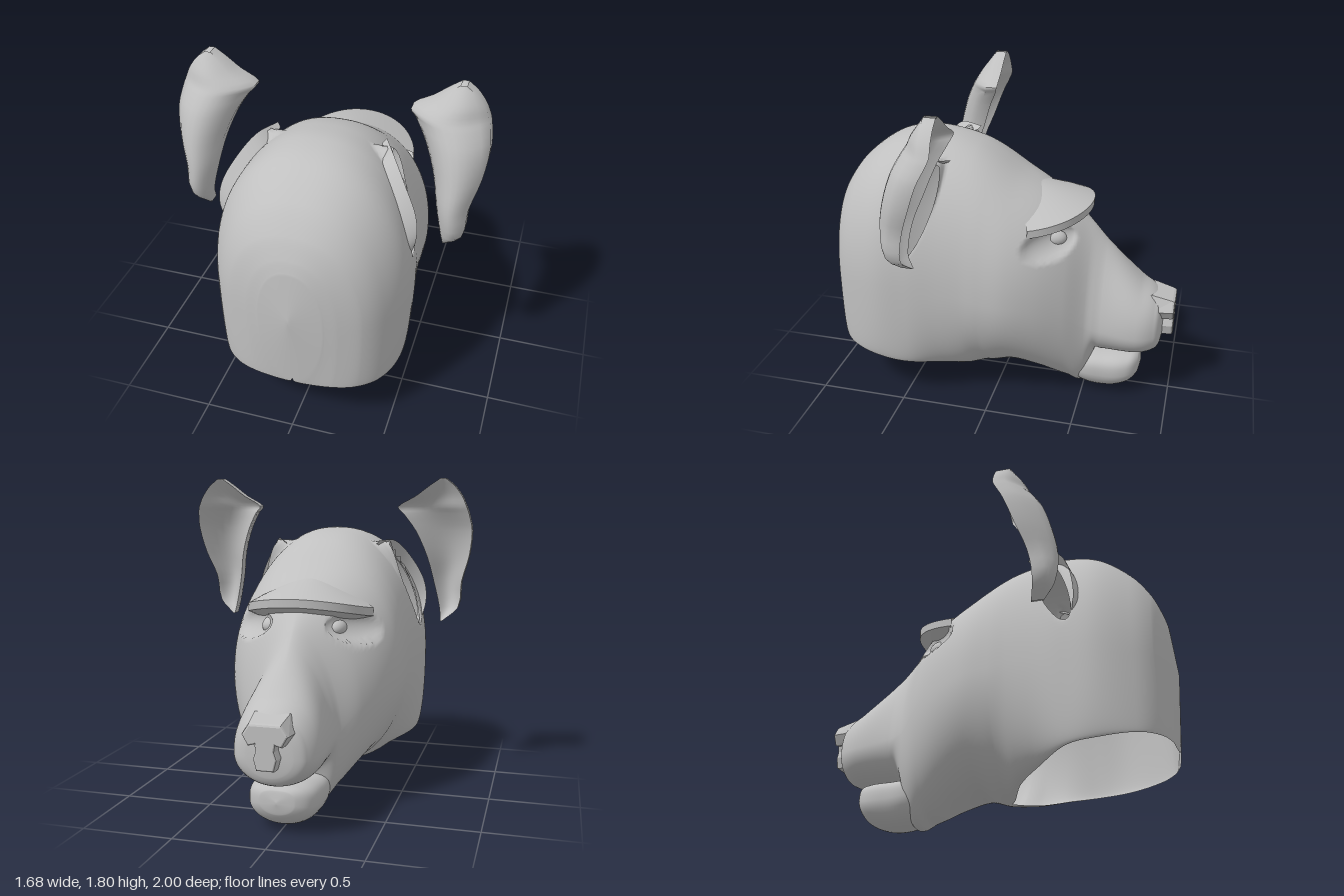
import * as THREE from 'three';
import { mergeVertices, toCreasedNormals } from 'three/addons/utils/BufferGeometryUtils.js';

const clay = new THREE.MeshStandardMaterial({ color: 0xc0c0c0, side: THREE.DoubleSide });
clay.name = 'plain grey';

// Surface through a grid of points; cells rejected by keep() stay open
function gridGeometry(rows, cols, point, keep = () => true) {
  const pts = [], index = [];
  for (let i = 0; i <= rows; i++)
    for (let j = 0; j <= cols; j++) pts.push(point(i / rows, j / cols));
  const n = cols + 1;
  for (let i = 0; i < rows; i++)
    for (let j = 0; j < cols; j++) {
      const a = i * n + j, b = a + 1, c = a + n, d = c + 1;
      const mid = pts[a].clone().add(pts[b]).add(pts[c]).add(pts[d]).multiplyScalar(0.25);
      if (keep(mid)) index.push(a, b, c, b, d, c);
    }
  const g = new THREE.BufferGeometry();
  g.setAttribute('position', new THREE.Float32BufferAttribute(pts.flatMap(p => p.toArray()), 3));
  g.setIndex(index);
  const merged = mergeVertices(g, 1e-4);
  merged.computeVertexNormals();
  return merged;
}

// Smooth interpolation through rows of section values, keyed on the first column
function sample(keys, t) {
  const f = Math.min(t * (keys.length - 1), keys.length - 1 - 1e-6);
  const i = Math.floor(f), u = f - i;
  const k = m => keys[THREE.MathUtils.clamp(m, 0, keys.length - 1)];
  const at = THREE.MathUtils.lerp(k(i)[0], k(i + 1)[0], u);
  return k(i).map((v, c) => {
    if (c === 0) return at;
    const slope = m => (k(m + 1)[c] - k(m - 1)[c]) / (k(m + 1)[0] - k(m - 1)[0]);
    const h = k(i + 1)[0] - k(i)[0], u2 = u * u, u3 = u2 * u;
    return v * (2 * u3 - 3 * u2 + 1) + k(i + 1)[c] * (3 * u2 - 2 * u3)
      + h * (slope(i) * (u3 - 2 * u2 + u) + slope(i + 1) * (u3 - u2));
  });
}

// Loft of rounded sections: [z, top, bottom, half width, widest height, opening]
function sectionLoft(keys, rows, cols, upperPower, adjust = p => p, keep) {
  return gridGeometry(rows, cols, (v, q) => {
    const [z, top, bot, w0, mid, x0] = sample(keys, v);
    const w = Math.max(w0, 0), open = THREE.MathUtils.clamp(x0, 0, w);
    const side = q < 0.5 ? -1 : 1, s = 1 - Math.abs(q * 2 - 1);
    const low = s < 0.4, power = low ? 2 : upperPower(z);
    const a = (low ? s / 0.4 : (s - 0.4) / 0.6) * Math.PI / 2;
    const sn = Math.max(Math.sin(a), 0) ** (2 / power), cs = Math.max(Math.cos(a), 0) ** (2 / power);
    const x = low ? open + (w - open) * sn : w * cs;
    const y = low ? mid - (mid - bot) * cs : mid + (top - mid) * sn;
    return adjust(new THREE.Vector3(side * x, y, z));
  }, keep);
}

const headKeys = [
  [1.0, 0.76, 0.74, 0, 0.75, 0],
  [0.972, 1.03, 0.335, 0.17, 0.7, 0],
  [0.968, 1.05, 0.302, 0.185, 0.7, 0.02],
  [0.95, 1.11, 0.3, 0.25, 0.7, 0.2],
  [0.9, 1.22, 0.295, 0.365, 0.7, 0.335],
  [0.8, 1.35, 0.285, 0.455, 0.7, 0.435],
  [0.63, 1.47, 0.262, 0.53, 0.72, 0.485],
  [0.45, 1.51, 0.24, 0.53, 0.72, 0.47],
  [0.28, 1.495, 0.19, 0.51, 0.72, 0.33],
  [0.15, 1.46, 0.145, 0.5, 0.72, 0.2],
  [0.05, 1.41, 0.105, 0.5, 0.7, 0],
  [-0.1, 1.31, 0.14, 0.49, 0.68, 0],
  [-0.25, 1.225, 0.1, 0.435, 0.65, 0],
  [-0.4, 1.13, 0.035, 0.345, 0.58, 0],
  [-0.51, 1.03, 0.015, 0.262, 0.48, 0],
  [-0.56, 0.975, 0.245, 0.245, 0.46, 0],
  [-0.6, 0.93, 0.258, 0.238, 0.45, 0],
  [-0.8, 0.72, 0.262, 0.23, 0.43, 0],
  [-0.89, 0.655, 0.285, 0.19, 0.43, 0],
  [-0.93, 0.6, 0.33, 0.13, 0.44, 0],
  [-0.945, 0.46, 0.43, 0, 0.445, 0],
];
const jawKeys = [
  [-0.38, 0.2, 0.09, 0.1, 0.15, 0],
  [-0.48, 0.255, 0.025, 0.19, 0.16, 0],
  [-0.62, 0.258, 0.0, 0.195, 0.15, 0],
  [-0.75, 0.255, 0.035, 0.17, 0.15, 0],
  [-0.815, 0.235, 0.1, 0.1, 0.165, 0],
  [-0.83, 0.175, 0.165, 0, 0.17, 0],
];

// Full rounded skull, with a ridged bridge along the snout
const headPower = z => 2.25 - 0.65 * Math.exp(-(((z + 0.57) / 0.19) ** 2));

// Slanted slot beneath each ear: 1 on its edge
function slotRadius(p) {
  const dz = p.z - 0.39, dy = p.y - 1.17, c = 0.94, s = 0.34;
  return Math.hypot((dz * c + dy * s) / 0.075, (dy * c - dz * s) / 0.28);
}

// Eye sockets pressed into the face, and grid points snapped to the slot edge
function shapeHead(p) {
  const r = Math.hypot((p.z + 0.31) / 0.13, (p.y - 1.0) / 0.08);
  if (r < 1) p.x -= Math.sign(p.x) * 0.075 * (1 - r * r) ** 0.7;
  const e = slotRadius(p);
  if (e > 0.6 && e < 1) {
    p.y = 1.17 + (p.y - 1.17) / e;
    p.z = 0.39 + (p.z - 0.39) / e;
  }
  return p;
}

// Cupped ear shell: [height, inner x, outer x, z of its spine, cup depth]
const earRows = [
  [0.96, 0.655, 0.665, 0.4, 0], [1.04, 0.645, 0.755, 0.47, 0.04],
  [1.2, 0.61, 0.775, 0.49, 0.08], [1.35, 0.575, 0.82, 0.465, 0.11],
  [1.5, 0.515, 0.84, 0.42, 0.12], [1.6, 0.45, 0.825, 0.37, 0.12],
  [1.64, 0.42, 0.812, 0.345, 0.11], [1.7, 0.52, 0.785, 0.31, 0.075],
  [1.76, 0.6, 0.74, 0.265, 0.03], [1.8, 0.66, 0.69, 0.235, 0],
];
function earGeometry() {
  return toCreasedNormals(gridGeometry(27, 20, (v, q) => {
    const [y, xi, xo, z, cup] = sample(earRows, v);
    const j = Math.round(q * 20), front = j > 9 && j < 20;
    const k = j < 10 ? j / 9 : front ? (19 - j) / 9 : 0;
    return new THREE.Vector3(xi + (xo - xi) * k, y, z - cup * (2 * k - 1) ** 2 - (front ? 0.065 : 0));
  }), 0.8);
}

// Flange curving behind the ear slot
function flangeGeometry() {
  const curve = a => new THREE.CatmullRomCurve3(a.map(p => new THREE.Vector3(...p)));
  const outer = curve([[0.3, 1.44, 0.23], [0.37, 1.435, 0.37], [0.455, 1.33, 0.465],
    [0.53, 1.18, 0.515], [0.54, 1.05, 0.53], [0.5, 0.9, 0.5]]);
  const inner = curve([[0.28, 1.42, 0.25], [0.32, 1.37, 0.4], [0.39, 1.27, 0.49],
    [0.45, 1.13, 0.55], [0.48, 1.0, 0.56], [0.48, 0.88, 0.53]]);
  return gridGeometry(24, 3, (v, q) => inner.getPoint(v).lerp(outer.getPoint(v), q));
}

// Overhanging brow: [reach, height] swept around the forehead, sinking in at its ends
function browGeometry() {
  const profile = [[0.3, 1.255], [0.5, 1.235], [0.8, 1.2], [1, 1.17], [0.995, 1.125], [0.85, 1.09], [0.6, 1.04]];
  return toCreasedNormals(gridGeometry(profile.length - 1, 32, (v, q) => {
    const a = (q * 2 - 1) * 1.2, s2 = Math.sin(a) ** 2;
    const [r, y] = profile[Math.round(v * (profile.length - 1))];
    const reach = r * (1 - 0.1 * s2 * s2);
    return new THREE.Vector3(0.42 * reach * Math.sin(a), y - 0.08 * r * s2, -0.05 - 0.455 * reach * Math.cos(a));
  }), 0.7);
}

// Nose pad with a central column and nostril notches
function noseGeometry() {
  const half = [[0.09, 0.615], [0.125, 0.57], [0.095, 0.525], [0.055, 0.535], [0.045, 0.49], [0.06, 0.45], [0.045, 0.4]];
  const outline = [...half, ...half.map(([x, y]) => [-x, y]).reverse()];
  const g = new THREE.ExtrudeGeometry(new THREE.Shape(outline.map(p => new THREE.Vector2(...p))), {
    depth: 0.11, bevelThickness: 0.015, bevelSize: 0.01, bevelSegments: 2,
  });
  g.translate(0, 0, -0.985);
  // Narrower in front, the top rising toward the bridge
  const pos = g.attributes.position;
  for (let i = 0; i < pos.count; i++) {
    const back = pos.getZ(i) + 1;
    pos.setX(i, pos.getX(i) * (0.86 + back));
    if (pos.getY(i) > 0.6) pos.setY(i, pos.getY(i) + back * 0.25);
  }
  g.computeVertexNormals();
  return g;
}

export function createModel() {
  const model = new THREE.Group();
  model.name = 'animalHead';
  const add = (parent, name, geometry) => {
    const mesh = new THREE.Mesh(geometry, clay);
    mesh.name = name;
    parent.add(mesh);
    return mesh;
  };
  add(model, 'head', sectionLoft(headKeys, 180, 140, headPower, shapeHead, p => slotRadius(p) > 0.97));
  add(model, 'lowerJaw', sectionLoft(jawKeys, 30, 48, () => 3.2));
  add(model, 'brow', browGeometry());
  add(model, 'nose', noseGeometry());

  // Paired parts, mirrored across x
  const ear = earGeometry(), flange = flangeGeometry();
  const eye = new THREE.SphereGeometry(0.06, 24, 16).scale(0.9, 0.85, 1.3);
  for (const side of [1, -1]) {
    const pair = new THREE.Group();
    pair.name = side > 0 ? 'leftSide' : 'rightSide';
    pair.scale.x = side;
    add(pair, 'ear', ear);
    add(pair, 'earFlange', flange);
    add(pair, 'eye', eye).position.set(0.185, 1.0, -0.31);
    model.add(pair);
  }
  return model;
}
